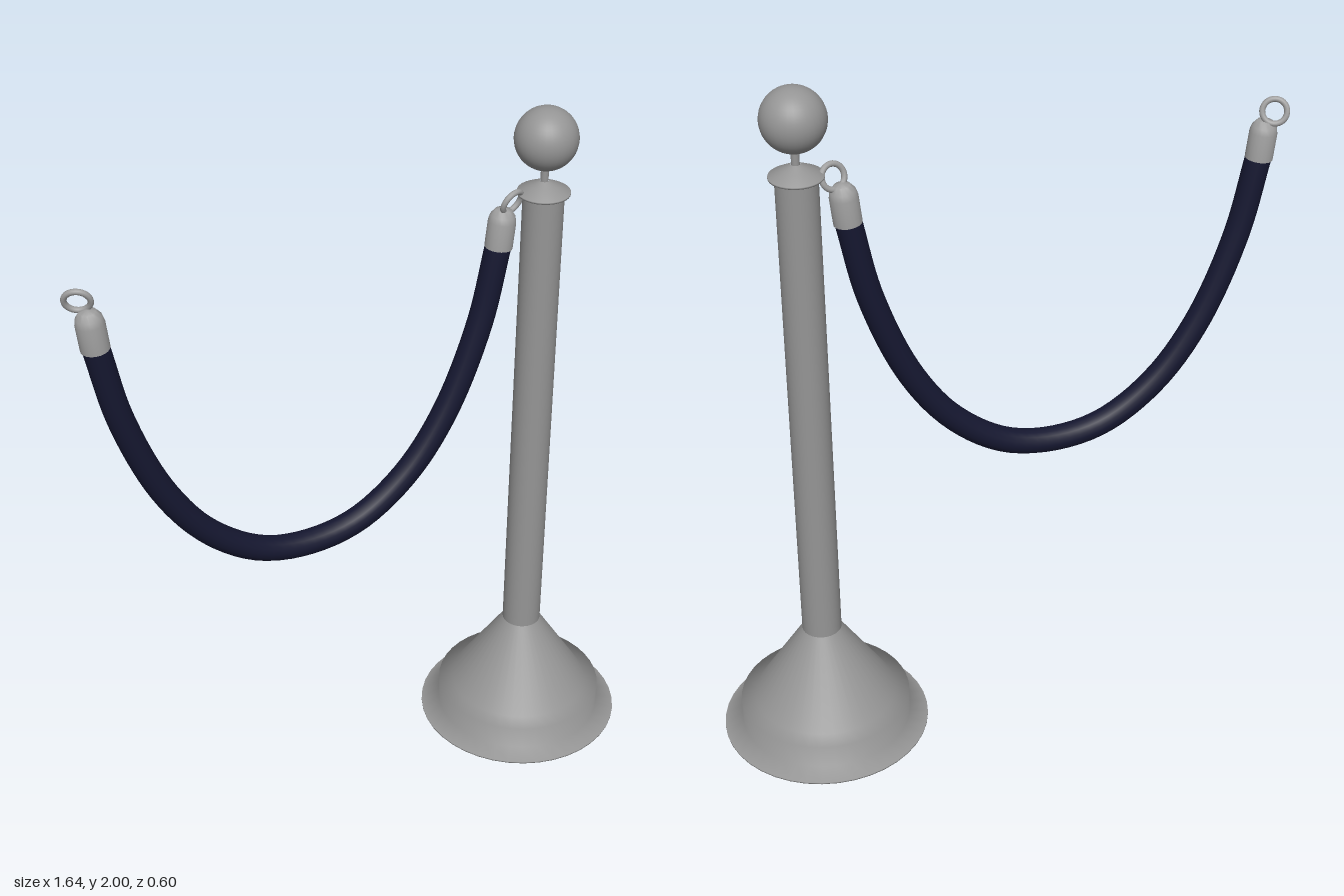
import * as THREE from 'three';
import { toCreasedNormals } from 'three/addons/utils/BufferGeometryUtils.js';

const postMetal = new THREE.MeshStandardMaterial({ color: 0x959595 });
const fittingMetal = new THREE.MeshStandardMaterial({ color: 0x9f9f9f });
const fabric = new THREE.MeshStandardMaterial({ color: 0x151730 });

function addMesh(parent, name, geometry, material) {
  const mesh = new THREE.Mesh(geometry, material);
  mesh.name = name;
  parent.add(mesh);
  return mesh;
}

// Smooth turned part from [radius, height] pairs, listed bottom to top
function turned(profile, segments) {
  const points = profile.map(([r, y]) => new THREE.Vector2(r, y));
  return new THREE.LatheGeometry(points, segments);
}

export function createModel() {
  const model = new THREE.Group();

  // Post: stepped base, pole, flared collar, thin neck and ball
  const post = new THREE.Group();
  post.name = 'post';
  post.position.x = 0.517;
  model.add(post);

  addMesh(post, 'base', turned([
    [0, 0], [0.298, 0], [0.298, 0.004], [0.245, 0.018], [0.245, 0.09],
    [0.205, 0.102], [0.056, 0.335],
  ], 40), postMetal);
  addMesh(post, 'pole',
    new THREE.CylinderGeometry(0.056, 0.056, 1.44, 32), postMetal).position.y = 1.045;
  addMesh(post, 'collar', turned([
    [0, 1.757], [0.072, 1.757], [0.072, 1.762], [0.038, 1.78], [0.012, 1.793],
  ], 32), postMetal);
  addMesh(post, 'neck',
    new THREE.CylinderGeometry(0.011, 0.011, 0.08, 16), postMetal).position.y = 1.82;
  addMesh(post, 'ball', new THREE.SphereGeometry(0.086, 32, 24), postMetal).position.y = 1.914;

  // Hanging rope, mirrored about its lowest point
  const rope = new THREE.Group();
  rope.name = 'ropeAssembly';
  rope.position.set(-0.18, 0, -0.018);
  model.add(rope);

  const half = [[0.15, 0.866], [0.3, 0.972], [0.42, 1.138], [0.522, 1.39], [0.574, 1.625]];
  const path = [
    ...half.map(([x, y]) => [-x, y]).reverse(), [0, 0.838], ...half,
  ].map(([x, y]) => new THREE.Vector3(x, y, 0));
  addMesh(rope, 'rope',
    new THREE.TubeGeometry(new THREE.CatmullRomCurve3(path), 64, 0.036, 16), fabric);

  // End ferrules with tilted hook rings
  const ferrule = toCreasedNormals(turned([
    [0, 0], [0.038, 0], [0.038, 0.075], [0.034, 0.092], [0.022, 0.108], [0, 0.114],
  ], 20), 0.7);
  const ring = new THREE.TorusGeometry(0.033, 0.008, 10, 28);
  const ends = [
    { side: -1, name: 'right', ringPosition: [-0.605, 1.754, -0.012], yaw: -0.48 },
    { side: 1, name: 'left', ringPosition: [0.605, 1.747, 0.01], yaw: 0.3 },
  ];
  for (const { side, name, ringPosition, yaw } of ends) {
    const cap = addMesh(rope, name + 'Ferrule', ferrule, fittingMetal);
    cap.position.set(side * 0.574, 1.618, 0);
    cap.rotation.z = -side * 0.11;
    const loop = addMesh(rope, name + 'Ring', ring, fittingMetal);
    loop.position.set(...ringPosition);
    loop.rotation.set(0.33, yaw, 0, 'YXZ');
  }

  return model;
}
